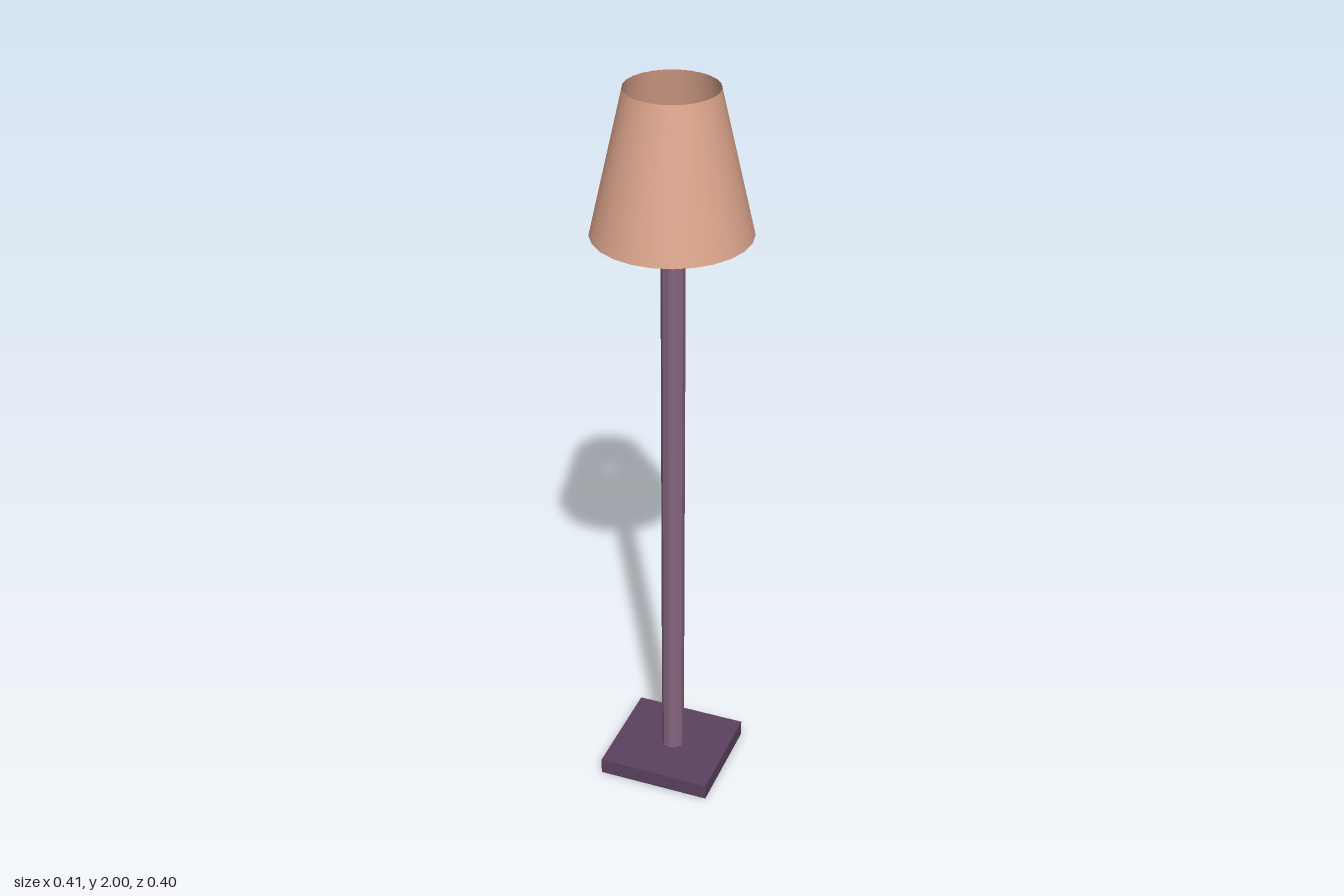
import * as THREE from 'three';

export function createModel() {
  const lamp = new THREE.Group();
  lamp.name = 'floorLamp';

  const add = (name, geometry, options, x, y) => {
    const mesh = new THREE.Mesh(geometry, new THREE.MeshStandardMaterial(options));
    mesh.name = name;
    mesh.position.set(x, y, 0);
    lamp.add(mesh);
    return mesh;
  };

  // Flat rectangular foot
  add('base', new THREE.BoxGeometry(0.312, 0.045, 0.3), { color: 0x5c4260 }, 0.001, 0.0225);

  // Ten-sided pole, ending just below the shade
  add('pole', new THREE.CylinderGeometry(0.031, 0.031, 1.57, 10),
    { color: 0x85647f, flatShading: true }, 0.003, 0.83);

  // Thin tapered shade, open at both ends
  const shade = add('shade', new THREE.CylinderGeometry(0.118, 0.203, 0.371, 25, 1, true),
    { color: 0xdca58c, side: THREE.DoubleSide }, 0, 1.8145);
  shade.rotation.y = Math.PI;

  return lamp;
}
